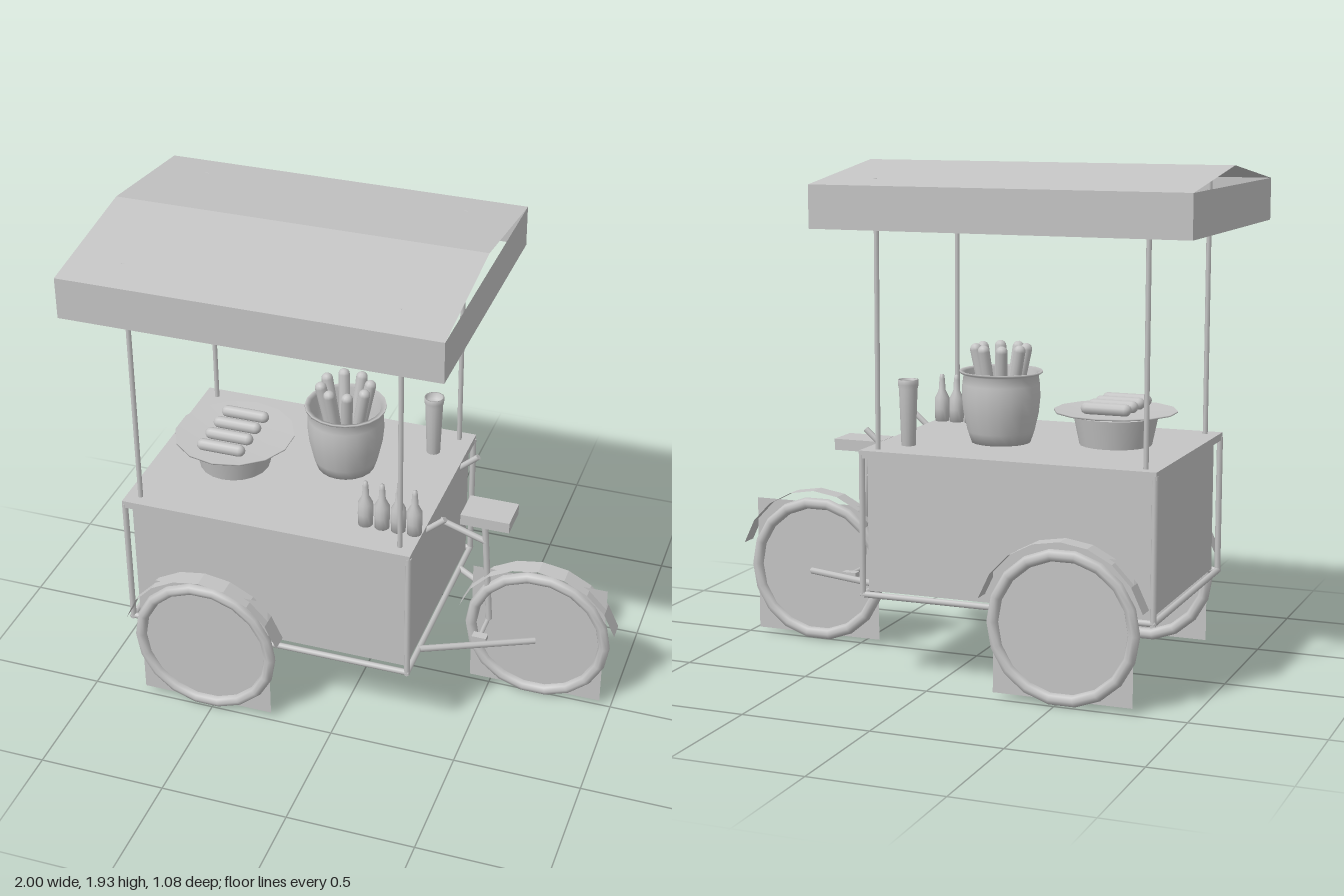
import * as THREE from 'three';

export function createModel() {
  const root = new THREE.Group();
  root.name = 'foodCart';
  const grey = new THREE.MeshStandardMaterial({ color: 0xc4c4c4, side: THREE.DoubleSide });
  grey.name = 'plainGrey';

  const add = (name, geo, x = 0, y = 0, z = 0, parent = root) => {
    const m = new THREE.Mesh(geo, grey);
    m.name = name;
    m.position.set(x, y, z);
    parent.add(m);
    return m;
  };
  // box given by its limits
  const box = (name, x0, x1, y0, y1, z0, z1) =>
    add(name, new THREE.BoxGeometry(x1 - x0, y1 - y0, z1 - z0), (x0 + x1) / 2, (y0 + y1) / 2, (z0 + z1) / 2);
  // round bar between two points
  const aim = (mesh, a, b) => {
    mesh.position.copy(a).add(b).multiplyScalar(0.5);
    mesh.quaternion.setFromUnitVectors(new THREE.Vector3(0, 1, 0), b.clone().sub(a).normalize());
  };
  const bar = (name, p, q, r = 0.012, sides = 8) => {
    const a = new THREE.Vector3(...p), b = new THREE.Vector3(...q);
    aim(add(name, new THREE.CylinderGeometry(r, r, a.distanceTo(b), sides)), a, b);
  };
  const lathe = (name, pts, sides, x, y, z) =>
    add(name, new THREE.LatheGeometry(pts.map(p => new THREE.Vector2(...p)), sides), x, y, z);
  // thin strip: a profile in x,y swept flat along z
  const strip = (pts, z0, z1) => {
    const pos = [], idx = [];
    pts.forEach(([x, y], i) => {
      pos.push(x, y, z0, x, y, z1);
      const k = i * 2;
      if (i) idx.push(k - 2, k - 1, k + 1, k - 2, k + 1, k);
    });
    const g = new THREE.BufferGeometry();
    g.setAttribute('position', new THREE.Float32BufferAttribute(pos, 3));
    g.setIndex(idx);
    const flat = g.toNonIndexed();
    flat.computeVertexNormals();
    return flat;
  };

  // cart body, counter and tubular frame
  box('cartBody', -0.83, 0.275, 0.345, 0.86, -0.405, 0.405);
  box('counterTop', -0.855, 0.295, 0.857, 0.886, -0.44, 0.44);
  for (const z of [-0.43, 0.43]) {
    for (const x of [-0.848, 0.287]) bar('framePost', [x, 0.33, z], [x, 0.87, z]);
    bar('frameSideRail', [-0.855, 0.336, z], [0.295, 0.336, z]);
  }
  for (const x of [-0.848, 0.287]) bar('frameCrossRail', [x, 0.336, -0.44], [x, 0.336, 0.44]);

  // canopy: four poles, open valance and gable roof sheet
  for (const x of [-0.8, 0.24]) for (const z of [-0.388, 0.388])
    bar('canopyPole', [x, 0.88, z], [x, 1.889, z], 0.01);
  for (const s of [-1, 1]) {
    add('valanceLong', new THREE.PlaneGeometry(1.44, 0.16), -0.28, 1.79, s * 0.54).rotation.y = s > 0 ? 0 : Math.PI;
    add('valanceEnd', new THREE.PlaneGeometry(1.08, 0.16), -0.28 + s * 0.72, 1.79, 0).rotation.y = s * Math.PI / 2;
  }
  const roof = add('canopyRoof', strip([[-0.54, 1.87], [0, 1.94], [0.54, 1.87]], -0.72, 0.72), -0.28, 0, 0);
  roof.rotation.y = Math.PI / 2;

  // wheels: tyre, square plate and sheet mudguard
  const arc = [];
  for (let i = 0; i <= 8; i++) {
    const a = (164 - 18.5 * i) * Math.PI / 180;
    arc.push([0.325 * Math.cos(a), 0.325 * Math.sin(a)]);
  }
  for (const [name, x, z] of [['rearLeftWheel', -0.524, 0.482], ['rearRightWheel', -0.524, -0.482], ['frontWheel', 0.687, 0]]) {
    const wheel = new THREE.Group();
    wheel.name = name;
    wheel.position.set(x, 0.3, z);
    add('tyre', new THREE.TorusGeometry(0.27, 0.023, 8, 18), 0, 0, 0, wheel);
    add('wheelPlate', new THREE.PlaneGeometry(0.535, 0.54), 0, 0.002, 0, wheel);
    add('mudguard', strip(arc, -0.036, 0.036), 0, 0, 0, wheel);
    root.add(wheel);
  }

  // cycle end: saddle, stays, pedals and grips
  box('saddle', 0.38, 0.573, 0.806, 0.85, -0.07, 0.07);
  bar('saddlePost', [0.458, 0.81, 0], [0.49, 0.33, 0], 0.013);
  bar('upperTube', [0.28, 0.76, 0], [0.468, 0.697, 0], 0.013);
  bar('pedalAxle', [0.485, 0.323, -0.12], [0.485, 0.323, 0.12], 0.009);
  for (const s of [-1, 1]) {
    bar('wheelStay', [0.285, 0.336, s * 0.28], [0.69, 0.302, s * 0.045], 0.013);
    box('pedal', 0.457, 0.515, 0.313, 0.333, s * 0.118 - 0.017, s * 0.118 + 0.017);
    bar('handGrip', [0.28, 0.853, s * 0.225], [0.365, 0.927, s * 0.225], 0.012);
  }

  // grill pan with sausages
  add('grillBase', new THREE.CylinderGeometry(0.16, 0.137, 0.11, 20), -0.547, 0.94, 0.045);
  lathe('grillPlate', [[0, 0.998], [0.15, 0.998], [0.234, 1.012], [0.234, 1.018], [0.15, 1.006], [0, 1.006]], 14, -0.547, 0, 0.04);
  for (let i = 0; i < 4; i++)
    add('sausage', new THREE.CapsuleGeometry(0.023, 0.15, 4, 10), -0.545, 1.036, 0.185 - i * 0.085).rotation.z = Math.PI / 2;

  // cooking pot with a ring of corn cobs
  lathe('cookingPot', [[0, 0.887], [0.112, 0.887], [0.127, 0.93], [0.143, 1.0], [0.149, 1.06], [0.147, 1.11],
    [0.142, 1.145], [0.158, 1.153], [0.158, 1.161], [0.138, 1.155], [0.14, 1.06], [0.115, 0.92], [0, 0.91]], 20, -0.128, 0, -0.072);
  for (let i = 0; i < 8; i++) {
    const a = (i + 0.5) * Math.PI / 4, c = Math.cos(a), s = Math.sin(a);
    const cob = add('cornCob', new THREE.CapsuleGeometry(0.023, 0.22, 4, 10));
    aim(cob, new THREE.Vector3(-0.128 + 0.045 * c, 1.0, -0.072 + 0.045 * s),
      new THREE.Vector3(-0.128 + 0.1 * c, 1.265, -0.072 + 0.1 * s));
  }

  // sauce bottles and cup
  for (const x of [0.073, 0.138, 0.202, 0.265])
    lathe('sauceBottle', [[0, 0], [0.028, 0], [0.03, 0.05], [0.029, 0.095], [0.014, 0.125], [0.011, 0.17], [0.008, 0.188], [0, 0.19]],
      12, x, 0.886, 0.287);
  lathe('cup', [[0, 0], [0.027, 0], [0.035, 0.215], [0.039, 0.232], [0.039, 0.25], [0.034, 0.25], [0.03, 0.225], [0, 0.225]],
    16, 0.168, 0.886, -0.27);

  return root;
}
